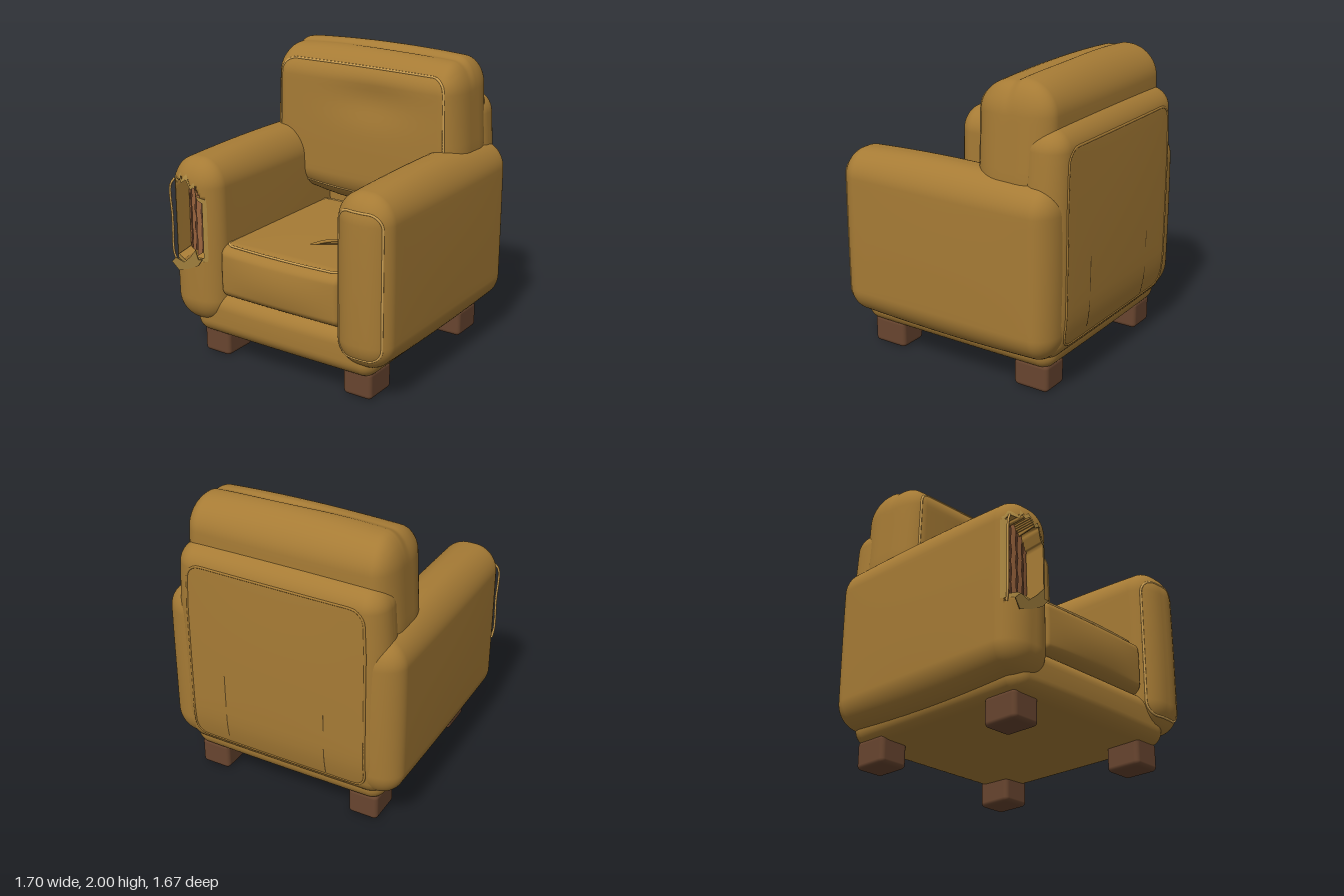
import * as THREE from 'three';
import { mergeVertices } from 'three/addons/utils/BufferGeometryUtils.js';
import { RoundedBoxGeometry } from 'three/addons/geometries/RoundedBoxGeometry.js';

const { clamp, lerp, smoothstep } = THREE.MathUtils;
const mat = (name, color, side = THREE.FrontSide) => {
  const m = new THREE.MeshStandardMaterial({ color, side });
  m.name = name;
  return m;
};

// Padded block: c centre, h half sizes, r corner radii, b bulge of each pair of faces
const ARM = { c: [0.645, 0.815, 0.005], h: [0.195, 0.56, 0.8], r: [0.17, 0.17, 0.13], b: [0.01, 0.03, 0.01] };
const TORN_ARM = { ...ARM, c: [-0.645, 0.815, 0.005] };
const BASE = { c: [0, 0.315, 0], h: [0.71, 0.155, 0.74], r: [0.1, 0.1, 0.1], b: [0, 0.015, 0.015] };
const FRAME = {
  c: [0, 0.96, -0.66], h: [0.74, 0.75, 0.155], r: [0.13, 0.13, 0.14], b: [0.01, 0.015, 0.015],
  // slightly narrower at the top, drawn in at the foot
  warp(p) {
    p[0] *= 1 - 0.03 * clamp((p[1] - 1.3) / 0.4, 0, 1);
    if (p[2] < -0.66) p[2] += 0.05 * clamp((0.55 - p[1]) / 0.3, 0, 1) ** 2;
  },
};
const SEAT = { c: [0, 0.635, 0.12], h: [0.485, 0.187, 0.62], r: [0.06, 0.07, 0.1], b: [0, 0.012, 0.035] };
const BACK = {
  c: [0, 1.445, -0.455], h: [0.745, 0.525, 0.265], r: [0.14, 0.19, 0.2], b: [0, 0.035, 0.01],
  // narrower towards the top, hem curving up to the sides, a dent in the front, a step and crease on top
  warp(p) {
    const u = p[0] / 0.745;
    p[0] *= 1 - 0.05 * Math.max(0, (p[1] - 1.4) / 0.6) * u ** 4;
    if (p[1] < 1.2) p[1] += 0.33 * u * u * (1.2 - p[1]);
    if (p[2] > -0.4) p[2] -= 0.03 * Math.exp(-(((p[0] - 0.1) / 0.3) ** 2) - ((p[1] - 1.66) / 0.14) ** 2);
    const crease = 0.02 * Math.exp(-(((p[0] - 0.15) / 0.35) ** 2) - ((p[2] + 0.45) / 0.04) ** 2);
    p[1] -= (crease + 0.02 * smoothstep(p[2], -0.49, -0.42)) * clamp((p[1] - 1.7) / 0.2, 0, 1);
  },
};

// Jagged upper and lower edges of the tear
const TEAR_TOP = [[-0.82, 1.2], [-0.8, 1.23], [-0.75, 1.21], [-0.73, 1.25], [-0.71, 1.22], [-0.67, 1.25],
  [-0.63, 1.19], [-0.6, 1.21], [-0.58, 1.13], [-0.53, 1.1]];
const TEAR_BOTTOM = [[-0.82, 0.7], [-0.76, 0.72], [-0.67, 0.69], [-0.61, 0.74], [-0.53, 0.73]];

// Height of a jagged line of [x, y] points
function along(pts, x) {
  let i = 1;
  while (i < pts.length - 1 && pts[i][0] < x) i++;
  const [a, b] = [pts[i - 1], pts[i]];
  return lerp(a[1], b[1], clamp((x - a[0]) / (b[0] - a[0]), 0, 1));
}

// Pushes the front of the torn arm inwards to form the hollow
function hollowOut(p) {
  const [x, y, z] = p;
  const inside = x > -0.818 && x < -0.536 && y > along(TEAR_BOTTOM, x) - 0.01 && y < along(TEAR_TOP, x) + 0.01;
  if (inside && z > 0.6) p[2] -= 0.15;
}

function deform(s, p) {
  const u = p.map((v, i) => (v - s.c[i]) / s.h[i]);
  for (let i = 0; i < 3; i++) {
    const v = u[(i + 1) % 3], w = u[(i + 2) % 3];
    p[i] += u[i] * s.b[i] * Math.max(0, 1 - v * v) * Math.max(0, 1 - w * w);
  }
  if (s.warp) s.warp(p);
  return p;
}

function softBox(s, n = 28) {
  const core = 4 / 7;
  let g = new THREE.BoxGeometry(2, 2, 2, n, n, n);
  g.deleteAttribute('uv');
  g.deleteAttribute('normal');
  g.clearGroups();
  g = mergeVertices(g, 1e-4);
  const pos = g.attributes.position;
  for (let i = 0; i < pos.count; i++) {
    const t = [pos.getX(i), pos.getY(i), pos.getZ(i)];
    const e = t.map((v) => Math.sign(v) * Math.tan(Math.max(0, (Math.abs(v) - core) / (1 - core)) * Math.PI / 4));
    const len = Math.hypot(...e);
    const p = t.map((v, k) => s.c[k] + clamp(v / core, -1, 1) * (s.h[k] - s.r[k]) + s.r[k] * e[k] / len);
    pos.setXYZ(i, ...deform(s, p));
  }
  g.computeVertexNormals();
  return g;
}

// Point on the front (side 1) or back (side -1) of a padded block
function onFace(s, x, y, off = 0, side = 1) {
  const [a, b] = [x, y].map((v, k) => Math.max(0, (Math.abs(v - s.c[k]) - s.h[k] + s.r[k]) / s.r[k]));
  const z = s.c[2] + side * (s.h[2] - s.r[2] + s.r[2] * Math.sqrt(Math.max(0, 1 - a * a - b * b)));
  const p = deform(s, [x, y, z]);
  p[2] += side * off;
  return new THREE.Vector3(...p);
}

// Closed piping along a rounded rectangle, placed in space by a mapping
function pipeLoop(x0, y0, x1, y1, r, place, radius = 0.008) {
  const path = new THREE.Path();
  path.absarc(x1 - r, y1 - r, r, 0, Math.PI / 2);
  path.absarc(x0 + r, y1 - r, r, Math.PI / 2, Math.PI);
  path.absarc(x0 + r, y0 + r, r, Math.PI, Math.PI * 1.5);
  path.absarc(x1 - r, y0 + r, r, Math.PI * 1.5, Math.PI * 2);
  path.closePath();
  const pts = path.getSpacedPoints(90).slice(0, -1).map((p) => place(p.x, p.y));
  return new THREE.TubeGeometry(new THREE.CatmullRomCurve3(pts, true), 200, radius, 8, true);
}

// Sheet lying on a block's face between two jagged lines
function patch(s, x0, x1, lo, hi, off, { wobble = 0, nx = 40, side = 1 } = {}) {
  const g = new THREE.PlaneGeometry(1, 1, nx, 20);
  const pos = g.attributes.position;
  for (let i = 0; i < pos.count; i++) {
    const x = lerp(x0, x1, pos.getX(i) + 0.5);
    const y = lerp(along(lo, x), along(hi, x), pos.getY(i) + 0.5);
    const p = onFace(s, x + wobble * Math.sin(y * 45 + x0 * 30), y, off, side);
    pos.setXYZ(i, p.x, p.y, p.z);
  }
  g.computeVertexNormals();
  return g;
}

const level = (y) => [[-1, y], [1, y]];
const curve = (pts) => new THREE.CatmullRomCurve3(pts.map((p) => new THREE.Vector3(...p)));

export function createModel() {
  const chair = new THREE.Group();
  chair.name = 'armchair';
  const fabric = mat('fabric', 0xa67b35);
  const piping = mat('piping', 0xcc9f52);
  const wood = mat('dark wood', 0x68452f);
  const slatWood = mat('slat wood', 0x9c653e, THREE.DoubleSide);
  const shadowWood = mat('inner wood', 0x543522, THREE.DoubleSide);
  const lining = mat('torn lining', 0xae8a42, THREE.DoubleSide);
  const stuffing = mat('stuffing', 0xcfa25c);
  const slit = mat('slit', 0x59421d, THREE.DoubleSide);
  const add = (name, geometry, material, parent = chair) => {
    const m = new THREE.Mesh(geometry, material);
    m.name = name;
    parent.add(m);
    return m;
  };

  // Upholstered body
  add('base', softBox(BASE), fabric);
  add('leftArm', softBox(ARM), fabric);
  add('rightArm', softBox({ ...TORN_ARM, warp: hollowOut }, 56), fabric);
  add('backFrame', softBox(FRAME), fabric);
  add('seatCushion', softBox(SEAT), fabric);
  add('backCushion', softBox(BACK), fabric);

  // Feet
  for (const x of [-0.565, 0.565]) for (const z of [0.555, -0.58]) {
    add('foot', new RoundedBoxGeometry(0.21, 0.19, 0.25, 3, 0.03), wood).position.set(x, 0.095, z);
  }

  // Piping, half sunk into the cloth
  add('armPiping', pipeLoop(0.485, 0.33, 0.8, 1.28, 0.09, (x, y) => onFace(ARM, x, y, -0.003)), piping);
  add('backCushionPiping', pipeLoop(-0.65, 1.01, 0.65, 1.895, 0.1, (x, y) => onFace(BACK, x, y, -0.003)), piping);
  add('backPanelPiping', pipeLoop(-0.63, 0.32, 0.63, 1.6, 0.09, (x, y) => onFace(FRAME, x, y, -0.002, -1)), fabric);
  add('seatPiping', pipeLoop(-0.45, -0.45, 0.45, 0.69, 0.06,
    (x, z) => new THREE.Vector3(x, 0.815, z + (z > 0 ? 0.02 * (1 - (x / 0.45) ** 2) : 0))), piping);

  // Torn arm front: slats inside the hollow
  const tear = new THREE.Group();
  tear.name = 'armTear';
  chair.add(tear);
  add('hollow', patch(TORN_ARM, -0.82, -0.53, level(0.66), level(1.28), -0.138), shadowWood, tear);
  for (let i = 0; i < 5; i++) {
    const x = -0.805 + i * 0.053;
    const slat = patch(TORN_ARM, x, x + 0.041, level(0.66), level(1.28), -0.13, { wobble: 0.004, nx: 4 });
    add('slat', slat, slatWood, tear);
  }

  // Frayed rim around the hollow
  const shift = (pts, d) => pts.map(([x, y], i) => [x, y + d * (1 + 0.6 * (i % 2))]);
  const rim = [
    [-0.828, -0.522, TEAR_TOP, shift(TEAR_TOP, 0.022)],
    [-0.828, -0.522, shift(TEAR_BOTTOM, -0.022), TEAR_BOTTOM],
    [-0.832, -0.808, level(0.68), level(1.2)],
    [-0.545, -0.518, level(0.72), level(1.11)],
  ];
  for (const [x0, x1, lo, hi] of rim) add('frayedRim', patch(TORN_ARM, x0, x1, lo, hi, 0.004), lining, tear);

  // Loose cloth: flap under the tear and a thread at the side
  const flapShape = new THREE.Shape([[-0.81, 0.66], [-0.76, 0.605], [-0.66, 0.64], [-0.58, 0.68], [-0.535, 0.735],
    [-0.57, 0.73], [-0.58, 0.8], [-0.63, 0.74], [-0.7, 0.68], [-0.77, 0.7]].map((p) => new THREE.Vector2(...p)));
  const flap = add('clothFlap', new THREE.ExtrudeGeometry(flapShape, { depth: 0.006, bevelEnabled: false }), lining, tear);
  flap.rotation.x = 0.18;
  flap.position.set(0, 0.011, 0.695);
  const thread = curve([[-0.8, 1.23, 0.765], [-0.828, 1.18, 0.78], [-0.826, 0.95, 0.775],
    [-0.828, 0.72, 0.775], [-0.82, 0.65, 0.76]]);
  add('looseThread', new THREE.TubeGeometry(thread, 30, 0.008, 6), piping, tear);

  // Seat rip: dark slit, raised lip and a tuft of stuffing
  const ripCurve = curve([[0.03, 0.825, 0.41], [0.1, 0.847, 0.35], [0.19, 0.856, 0.295],
    [0.26, 0.848, 0.245], [0.31, 0.825, 0.19]]);
  add('ripLip', new THREE.TubeGeometry(ripCurve, 24, 0.011, 8), fabric);
  const gap = add('ripGap', new THREE.CylinderGeometry(0.16, 0.16, 0.006, 24), slit);
  gap.scale.z = 0.07;
  gap.rotation.y = 0.66;
  gap.position.set(0.175, 0.832, 0.302);
  const tuft = add('stuffingTuft', new THREE.SphereGeometry(0.034, 20, 12), stuffing);
  tuft.scale.y = 0.35;
  tuft.position.set(0.29, 0.83, 0.285);

  // Slits worn into the back panel
  for (const [x, y0, y1] of [[0.37, 0.62, 0.86], [0.37, 0.38, 0.56], [-0.35, 0.68, 0.8], [-0.35, 0.34, 0.54]]) {
    add('backSlit', patch(FRAME, x - 0.004, x + 0.004, level(y0), level(y1), 0.003, { nx: 1, side: -1 }), slit);
  }
  return chair;
}
